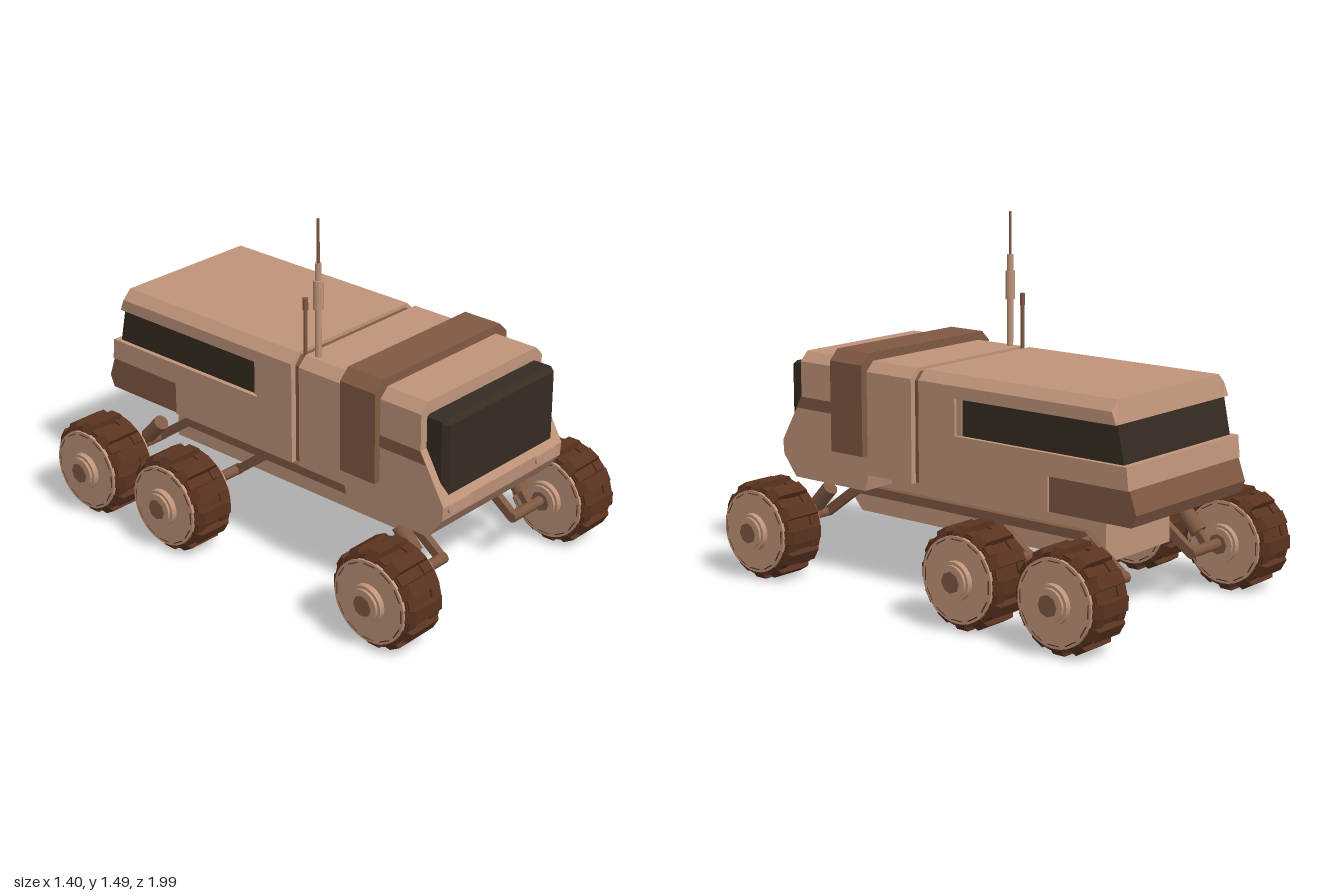
import * as THREE from 'three';

const mat = (name, color) => {
  const m = new THREE.MeshStandardMaterial({ color });
  m.name = name;
  return m;
};

export function createModel() {
  const root = new THREE.Group();
  root.name = 'sixWheelRover';
  const tan = mat('tan hull', 0xc0947a);
  const brown = mat('brown trim', 0x805943);
  const rubber = mat('dark brown tyre', 0x5a3320);
  const glass = mat('dark glass', 0x352c22);

  const add = (name, geo, material, parent = root) => {
    const m = new THREE.Mesh(geo, material);
    m.name = name;
    parent.add(m);
    return m;
  };
  const shapeOf = pts => new THREE.Shape(pts.map(p => new THREE.Vector2(p[0], p[1])));

  // Side profile of [z, y] points, swept from x0 to x1
  const prism = (pts, x0, x1) => new THREE.ExtrudeGeometry(shapeOf(pts), { depth: x1 - x0, bevelEnabled: false })
    .rotateY(-Math.PI / 2).translate(x1, 0, 0);

  // Side profile swept across the hull, its outer edges clamped to bevel the roof (and nose)
  const hull = (pts, half, inner, maxY, maxZ = Infinity) => {
    const g = new THREE.ExtrudeGeometry(shapeOf(pts), { depth: 3, steps: 3, bevelEnabled: false });
    const p = g.attributes.position;
    const xs = [-half, -inner, inner, half];
    for (let i = 0; i < p.count; i++) {
      const k = Math.round(p.getZ(i));
      const outer = k === 0 || k === 3;
      p.setXYZ(i, outer ? Math.min(p.getX(i), maxZ) : p.getX(i),
        outer ? Math.min(p.getY(i), maxY) : p.getY(i), xs[k]);
    }
    g.rotateY(-Math.PI / 2);
    g.computeVertexNormals();
    return g;
  };

  // Hull sections
  add('cab', hull([[0.17, 0.45], [0.41, 0.45], [0.43, 0.38], [0.83, 0.38], [0.9, 0.47], [0.905, 0.53],
    [0.79, 0.73], [0.79, 0.92], [0.17, 0.92]], 0.37, 0.33, 0.88), tan);
  add('rearCabin', hull([[0.13, 0.45], [0.13, 0.92], [-0.83, 0.92], [-0.85, 0.83], [-0.06, 0.83], [-0.06, 0.68],
    [-0.9, 0.68], [-0.91, 0.59], [-0.53, 0.59], [-0.53, 0.45]], 0.37, 0.33, 0.88), tan);
  add('hullSeam', hull([[0.12, 0.452], [0.18, 0.452], [0.18, 0.905], [0.12, 0.905]], 0.345, 0.315, 0.87), brown);
  add('rearBumper', prism([[-0.53, 0.45], [-0.53, 0.59], [-0.91, 0.59], [-0.942, 0.5], [-0.92, 0.45]], -0.362, 0.362), brown);

  // Windows
  add('windscreen', hull([[0.77, 0.56], [0.888, 0.56], [0.888, 0.85], [0.865, 0.868], [0.77, 0.868]],
    0.335, 0.318, 0.86, 0.862), glass);
  add('rearWindow', prism([[-0.08, 0.675], [-0.08, 0.835], [-0.842, 0.835], [-0.875, 0.675]], -0.35, 0.35), glass);
  add('windowJamb', prism([[-0.05, 0.675], [-0.05, 0.835], [-0.085, 0.835], [-0.085, 0.675]], -0.356, 0.356), tan);

  // Raised belt over the cab
  const belt = new THREE.ExtrudeGeometry(shapeOf([[-0.4, 0.53], [-0.35, 0.53], [-0.35, 0.86], [0.35, 0.86], [0.35, 0.53],
    [0.4, 0.53], [0.4, 0.91], [0.355, 0.955], [-0.355, 0.955], [-0.4, 0.91]]), { depth: 0.177, bevelEnabled: false });
  add('cabBelt', belt.translate(0, 0, 0.413), brown);

  // Under-hull chassis and keel
  add('keel', prism([[0.64, 0.39], [0.64, 0.285], [0.6, 0.24], [-0.69, 0.24], [-0.69, 0.43], [0.42, 0.43], [0.43, 0.39]],
    -0.21, 0.21), tan);
  add('chassisDeck', new THREE.BoxGeometry(0.4, 0.04, 1.0).translate(0, 0.44, -0.12), tan);

  // Bar between two [z, y] points
  const bar = (name, a, b, x, w, h, parent) => {
    const dz = b[0] - a[0], dy = b[1] - a[1];
    const m = add(name, new THREE.BoxGeometry(w, h, Math.hypot(dz, dy)), brown, parent);
    m.position.set(x, (a[1] + b[1]) / 2, (a[0] + b[0]) / 2);
    m.rotation.x = -Math.atan2(dy, dz);
    return m;
  };

  // Wheel geometry, shared by all six wheels
  const cyl = (r, x0, x1, n) => new THREE.CylinderGeometry(r, r, x1 - x0, n)
    .rotateZ(Math.PI / 2).translate((x0 + x1) / 2, 0, 0);
  const treadGeo = cyl(0.181, -0.095, 0.095, 36);
  const discGeo = cyl(0.172, -0.108, 0.108, 36);
  const lugGeo = new THREE.ExtrudeGeometry(shapeOf([[-0.111, 0.157], [0.111, 0.157], [0.075, 0.205], [-0.075, 0.205]]),
    { depth: 0.054, bevelEnabled: false }).translate(0, 0, -0.027);
  const shoulderGeo = new THREE.BoxGeometry(0.05, 0.03, 0.04);
  const makeWheel = (x, z) => {
    const w = new THREE.Group();
    w.name = 'wheel';
    add('tyre', treadGeo, rubber, w);
    add('sidewall', discGeo, tan, w);
    for (let i = 0; i < 12; i++) {
      const a = i * Math.PI / 6;
      add('treadLug', lugGeo, rubber, w).rotation.x = a;
      for (const s of [-1, 1]) {
        const holder = new THREE.Group();
        holder.name = 'shoulderLug';
        holder.rotation.x = a + Math.PI / 12;
        add('shoulderBlock', shoulderGeo, rubber, holder).position.set(s * 0.065, 0.173, 0);
        w.add(holder);
      }
    }
    add('hubRing', cyl(0.078, -0.132, 0.132, 24), tan, w);
    add('hubFlange', cyl(0.066, -0.143, 0.143, 24), tan, w);
    add('hubCap', cyl(0.043, -0.148, 0.148, 8), brown, w);
    w.position.set(x, 0.205, z);
    root.add(w);
  };

  for (const s of [-1, 1]) {
    const side = s > 0 ? 'left' : 'right';
    const gear = new THREE.Group();
    gear.name = side + 'Suspension';
    root.add(gear);

    // Rocker beam and arms down to the axles
    const x = s * 0.226;
    bar('rockerBeam', [0.6, 0.34], [-0.61, 0.34], x, 0.03, 0.038, gear);
    bar('frontArm', [0.6, 0.343], [0.79, 0.205], x, 0.03, 0.038, gear);
    bar('middleArm', [-0.14, 0.343], [-0.32, 0.205], x, 0.03, 0.038, gear);
    bar('rearArm', [-0.6, 0.343], [-0.79, 0.205], x, 0.03, 0.038, gear);

    for (const z of [0.79, -0.32, -0.79]) {
      makeWheel(s * 0.55, z);
      add('axle', cyl(0.023, 0.212, 0.43, 8).scale(s, 1, 1).rotateY(0), brown, gear).position.set(0, 0.208, z);
      if (s < 0) gear.children.at(-1).geometry = cyl(0.023, -0.43, -0.212, 8);
    }
    // Slanted dampers on the steered wheels
    for (const e of [-1, 1]) {
      const d = add('damper', new THREE.CylinderGeometry(0.034, 0.034, 0.12, 10), brown, gear);
      d.position.set(s * 0.335, 0.308, e * 0.705);
      d.rotation.x = -e * 0.75;
      bar('damperLink', [e * 0.79, 0.208], [e * 0.74, 0.27], s * 0.335, 0.03, 0.03, gear);
    }

    // Side stripe and headlamp
    const xs = [s * 0.366, s * 0.373].sort((a, b) => a - b);
    add(side + 'Stripe', prism([[0.58, 0.68], [0.818, 0.68], [0.79, 0.73], [0.58, 0.73]], xs[0], xs[1]), brown);
    const lamp = new THREE.Shape();
    lamp.absarc(0.05, 0, 0.021, -Math.PI / 2, Math.PI / 2);
    lamp.absarc(-0.05, 0, 0.021, Math.PI / 2, Math.PI * 1.5);
    add(side + 'Headlamp', new THREE.ExtrudeGeometry(lamp, { depth: 0.012, bevelEnabled: false, curveSegments: 6 }), tan)
      .position.set(s * 0.27, 0.51, 0.9);
  }

  // Antennas: [radius, bottom, top, material]
  const mast = (name, x, z, parts) => {
    const g = new THREE.Group();
    g.name = name;
    for (const [r, y0, y1, m] of parts) {
      add('mastSection', new THREE.CylinderGeometry(r, r, y1 - y0, 10).translate(0, (y0 + y1) / 2, 0), m, g);
    }
    g.position.set(x, 0, z);
    root.add(g);
  };
  mast('mainAntenna', -0.305, 0.215, [[0.013, 0.9, 1.12, tan], [0.021, 1.12, 1.24, tan],
    [0.013, 1.24, 1.31, tan], [0.006, 1.31, 1.49, brown]]);
  mast('shortAntenna', -0.31, 0.152, [[0.008, 0.88, 1.1, brown], [0.011, 1.1, 1.15, brown]]);
  return root;
}
